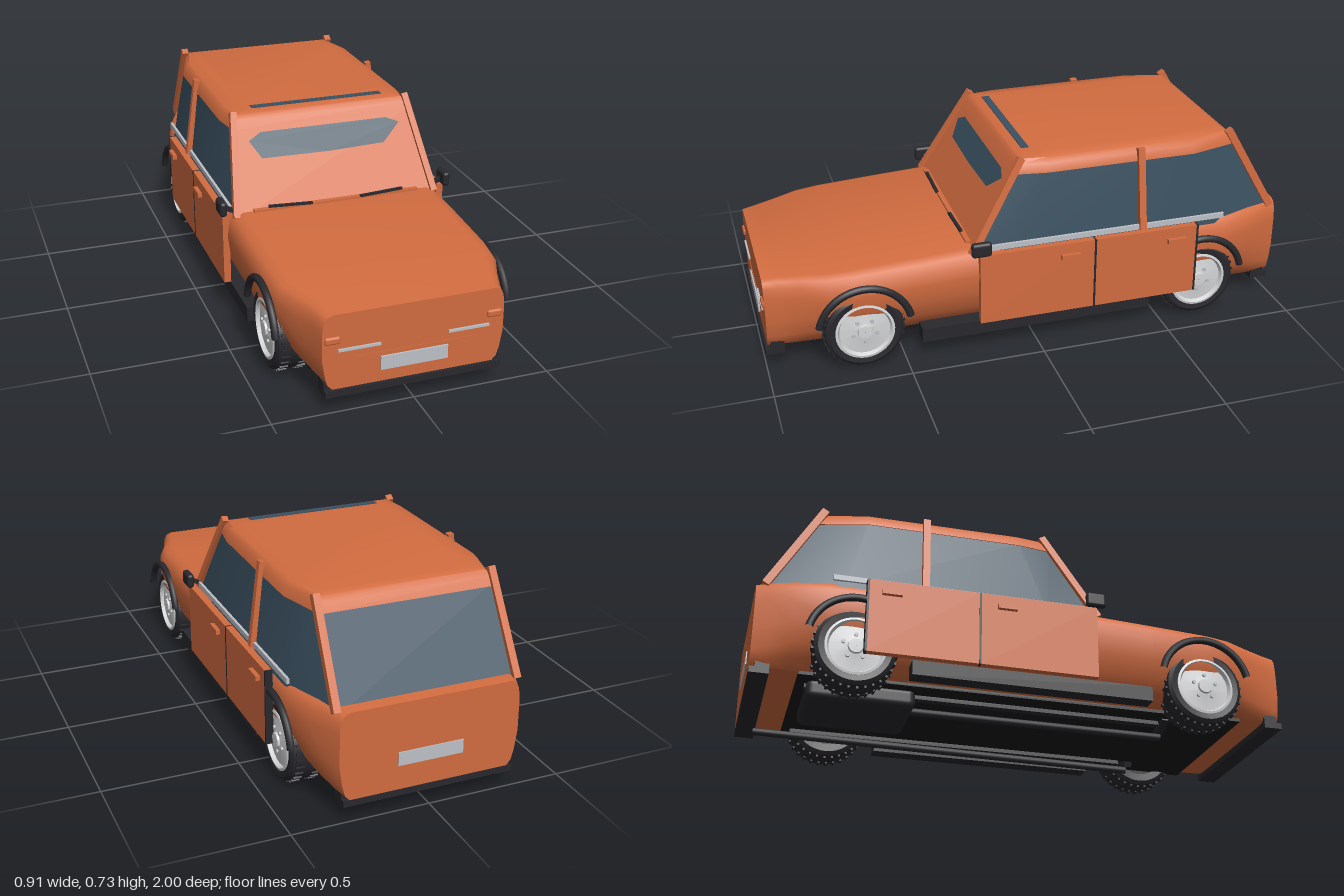
import * as THREE from 'three';
import { toCreasedNormals } from 'three/addons/utils/BufferGeometryUtils.js';
import { RoundedBoxGeometry } from 'three/addons/geometries/RoundedBoxGeometry.js';

const material = (name, color, side = THREE.FrontSide) => {
  const m = new THREE.MeshStandardMaterial({ color, side });
  m.name = name;
  return m;
};

// Skins a list of equal-length rings; each segment around the ring gets its own material group.
function loft(rings, segmentMaterial, caps, crease) {
  const pos = [], geo = new THREE.BufferGeometry(), n = rings[0].length;
  const tri = (...p) => p.forEach(v => pos.push(...v));
  const group = (index, build) => {
    const start = pos.length / 3;
    build();
    geo.addGroup(start, pos.length / 3 - start, index);
  };
  for (let i = 0; i < n; i++) {
    const j = (i + 1) % n;
    group(segmentMaterial(i), () => {
      for (let k = 0; k + 1 < rings.length; k++) {
        const a = rings[k], b = rings[k + 1];
        tri(a[i], a[j], b[j]);
        tri(a[i], b[j], b[i]);
      }
    });
  }
  if (caps) group(0, () => {
    const a = rings[0], b = rings[rings.length - 1];
    for (let i = 1; i + 1 < n; i++) {
      tri(a[0], a[i + 1], a[i]);
      tri(b[0], b[i], b[i + 1]);
    }
  });
  geo.setAttribute('position', new THREE.Float32BufferAttribute(pos, 3));
  return toCreasedNormals(geo, crease);
}

export function createModel() {
  const car = new THREE.Group();
  const paint = material('orange paint', 0xd26c40);
  const glass = material('blue grey glass', 0x3a5060, THREE.DoubleSide);
  const dark = material('dark trim', 0x28282d);
  const black = material('black underside', 0x17171a);
  const silver = material('silver trim', 0xbcc0c6);
  const rim = material('light rim', 0xd4d5d6);

  const add = (name, geo, mat, x = 0, y = 0, z = 0, parent = car) => {
    const m = new THREE.Mesh(geo, mat);
    m.name = name;
    m.position.set(x, y, z);
    parent.add(m);
    return m;
  };
  const box = (name, mat, w, h, d, x, y, z) => add(name, new THREE.BoxGeometry(w, h, d), mat, x, y, z);
  const beam = (name, mat, a, b, w, d) => {
    const p = new THREE.Vector3(...a), q = new THREE.Vector3(...b), dir = q.clone().sub(p);
    const m = box(name, mat, w, dir.length(), d, 0, 0, 0);
    m.position.copy(p).add(q).multiplyScalar(0.5);
    m.quaternion.setFromUnitVectors(new THREE.Vector3(0, 1, 0), dir.normalize());
    return m;
  };

  // Lower body: one half profile for the middle, one for the ends, blended along z
  const middle = [[0.72, 0], [0.84, 0.13], [0.92, 0.28], [0.98, 0.5], [1, 0.72], [0.985, 0.87], [0.94, 0.96], [0.86, 1]];
  const end = [[0.89, 0], [0.94, 0.06], [0.97, 0.18], [1, 0.4], [1, 0.76], [0.985, 0.9], [0.95, 0.97], [0.89, 1]];
  const stations = [ // z, half width, top, blend towards the end profile
    [-1, 0.33, 0.405, 1], [-0.95, 0.35, 0.41, 0.85], [-0.87, 0.385, 0.41, 0.4], [-0.75, 0.415, 0.41, 0],
    [-0.4, 0.422, 0.41, 0], [0.22, 0.422, 0.41, 0], [0.45, 0.422, 0.398, 0], [0.68, 0.418, 0.386, 0],
    [0.77, 0.405, 0.38, 0.15], [0.86, 0.365, 0.373, 0.55], [0.94, 0.335, 0.366, 0.9], [0.99, 0.323, 0.36, 1]];
  const sections = stations.map(([z, w, top, e]) => {
    const half = middle.map(([x, y], i) => [
      THREE.MathUtils.lerp(x, end[i][0], e) * w,
      0.085 + THREE.MathUtils.lerp(y, end[i][1], e) * (top - 0.085), z]);
    return [...half, ...half.map(([x, y]) => [-x, y, z]).reverse()];
  });
  add('body', loft(sections, () => 0, true, 0.75), [paint]);

  // Greenhouse: rings of eight corners, glazed on the sides and the back
  const ring = (y, ...side) => [
    [-side[0][0], y, side[0][1]], ...side.map(([x, z]) => [x, y, z]),
    ...side.slice(1).reverse().map(([x, z]) => [-x, y, z])];
  const cabin = [
    ring(0.385, [0.385, 0.25], [0.402, 0.05], [0.402, -0.7], [0.325, -0.97]),
    ring(0.68, [0.345, 0.075], [0.366, -0.05], [0.366, -0.62], [0.315, -0.805])];
  add('cabin', loft(cabin, i => (i === 0 ? 0 : 1), false, 0.3), [paint, glass]);
  const roof = [
    ring(0.672, [0.35, 0.082], [0.37, -0.05], [0.37, -0.62], [0.32, -0.81]),
    ring(0.705, [0.343, 0.062], [0.36, -0.05], [0.36, -0.62], [0.315, -0.79]),
    ring(0.722, [0.33, 0.048], [0.343, -0.05], [0.343, -0.62], [0.305, -0.775]),
    ring(0.73, [0.28, 0.02], [0.29, -0.07], [0.29, -0.6], [0.26, -0.75])];
  add('roof', loft(roof, () => 0, true, 0.7), [paint]);

  // Windscreen pane, sheared to lie on the sloping front of the cabin
  const pane = new THREE.ShapeGeometry(new THREE.Shape([
    [-0.3, 0.635], [-0.26, 0.575], [0, 0.572], [0.225, 0.578], [0.3, 0.64],
    [0.25, 0.66], [-0.25, 0.66]].map(p => new THREE.Vector2(...p))));
  const pp = pane.attributes.position;
  for (let i = 0; i < pp.count; i++) pp.setZ(i, 0.25 - (pp.getY(i) - 0.385) * 0.593 + 0.006);
  pane.computeVertexNormals();
  add('windscreenPane', pane, glass);
  box('roofGlassStrip', glass, 0.52, 0.008, 0.028, 0, 0.729, 0.005);

  // Cowl, nose and tail details
  box('cowl', paint, 0.65, 0.02, 0.05, 0, 0.407, 0.225);
  box('noseLip', paint, 0.42, 0.012, 0.012, 0, 0.191, 0.986);
  box('frontPlate', silver, 0.24, 0.05, 0.008, 0, 0.155, 0.993);
  box('rearPlate', silver, 0.24, 0.05, 0.008, 0, 0.2, -1);
  for (const f of [-1, 1]) {
    box('bumper', dark, 0.63, 0.023, 0.07, 0, 0.072, f * 0.965);
    for (const s of [-1, 1]) box('bumperBracket', dark, 0.05, 0.03, 0.05, s * 0.29, 0.095, f * 0.955);
  }

  // Underside
  box('floor', black, 0.62, 0.012, 1.66, 0, 0.08, 0);
  add('fuelTank', new RoundedBoxGeometry(0.29, 0.075, 0.39, 3, 0.025), dark, -0.125, 0.047, -0.6);
  for (const z of [0.65, -0.65]) box('axle', dark, 0.66, 0.025, 0.035, 0, 0.1, z);

  // Wheel shapes, with the axle along y and the outer face at the top
  const v2 = list => list.map(p => new THREE.Vector2(...p));
  const tyreGeo = toCreasedNormals(new THREE.LatheGeometry(v2([
    [0.1, -0.06], [0.13, -0.064], [0.143, -0.055], [0.147, -0.03], [0.147, 0.03],
    [0.143, 0.055], [0.13, 0.064], [0.106, 0.06], [0.1, 0.04]]), 40), 0.6);
  const rimGeo = toCreasedNormals(new THREE.LatheGeometry(v2([
    [0.107, 0.05], [0.109, 0.064], [0.1, 0.066], [0.093, 0.052], [0.05, 0.056], [0.028, 0.06],
    [0.026, 0.068], [0.001, 0.069]]), 36), 0.5);
  const treadGeo = new THREE.BoxGeometry(0.014, 0.03, 0.008);
  const studGeo = new THREE.CylinderGeometry(0.007, 0.007, 0.012, 8);
  rim.side = THREE.DoubleSide;

  for (const s of [-1, 1]) {
    // Pillars
    beam('frontPillar', paint, [s * 0.392, 0.395, 0.245], [s * 0.342, 0.73, 0.045], 0.024, 0.026);
    beam('middlePillar', paint, [s * 0.41, 0.4, -0.41], [s * 0.367, 0.722, -0.405], 0.022, 0.026);
    beam('rearPillar', paint, [s * 0.33, 0.395, -0.97], [s * 0.322, 0.73, -0.775], 0.026, 0.028);
    beam('beltStrip', silver, [s * 0.403, 0.418, 0.2], [s * 0.403, 0.418, -0.74], 0.01, 0.02);

    // Doors, with dark gaps behind each
    for (const [z, len, handle] of [[0.008, 0.436, -0.115], [-0.416, 0.4, -0.535]]) {
      box('door', paint, 0.026, 0.28, len, s * 0.427, 0.27, z);
      box('doorGap', dark, 0.028, 0.28, 0.008, s * 0.427, 0.27, z - len / 2 - 0.004);
      box('doorHandle', paint, 0.018, 0.018, 0.072, s * 0.447, 0.361, handle);
    }
    box('sill', dark, 0.06, 0.055, 0.89, s * 0.385, 0.1, -0.005);

    // Mirror and wiper
    beam('mirrorArm', dark, [s * 0.395, 0.415, 0.22], [s * 0.435, 0.435, 0.22], 0.016, 0.016);
    add('mirror', new RoundedBoxGeometry(0.028, 0.056, 0.075, 3, 0.012), dark, s * 0.442, 0.438, 0.222);
    const wx = s < 0 ? -0.185 : 0.175;
    beam('wiper', dark, [wx - 0.085, s < 0 ? 0.427 : 0.418, 0.25], [wx + 0.085, s < 0 ? 0.418 : 0.427, 0.25], 0.008, 0.012);

    // Lamps and nose strips
    add('headlamp', new RoundedBoxGeometry(0.054, 0.027, 0.02, 3, 0.008), paint, s * 0.288, 0.268, 0.988);
    box('noseStrip', silver, 0.148, 0.009, 0.008, s * 0.195, 0.229, 0.993);

    // Exhaust pipe, chassis rail and front strut
    const pipe = beam('pipe', dark, [s * 0.188, 0.027, 0.55], [s * 0.188, s < 0 ? 0.027 : 0.04, s < 0 ? -0.45 : -0.94], 0.02, 0.02);
    pipe.geometry = new THREE.CylinderGeometry(0.014, 0.014, pipe.geometry.parameters.height, 12);
    box('chassisRail', dark, 0.03, 0.022, 1.33, s * 0.22, 0.07, -0.135);
    beam('strut', dark, [s * 0.15, 0.04, 0.55], [s * 0.26, 0.078, 0.55], 0.022, 0.03);

    for (const z of [0.65, -0.65]) {
      // Wheel arch trim
      const arc = 2.7;
      add('wheelArch', new THREE.TorusGeometry(0.17, 0.014, 8, 28, arc), dark, s * 0.425, 0.167, z)
        .rotation.set(0, Math.PI / 2, (Math.PI - arc) / 2);

      // Wheel
      const wheel = new THREE.Group();
      wheel.name = 'wheel';
      wheel.position.set(s * 0.35, 0.156, z);
      wheel.rotation.z = -s * Math.PI / 2;
      car.add(wheel);
      add('tyre', tyreGeo, dark, 0, 0, 0, wheel);
      add('wheelBack', new THREE.CylinderGeometry(0.102, 0.102, 0.06, 24), black, 0, -0.02, 0, wheel);
      add('rim', rimGeo, rim, 0, 0, 0, wheel);
      for (let i = 0; i < 5; i++) {
        const a = i * Math.PI * 2 / 5;
        add('wheelStud', studGeo, silver, Math.cos(a) * 0.045, 0.058, Math.sin(a) * 0.045, wheel);
      }
      for (let i = 0; i < 64; i++) {
        const a = i * Math.PI / 32, y = i % 2 ? 0.032 : -0.032;
        add('tread', treadGeo, dark, Math.cos(a) * 0.145, y, Math.sin(a) * 0.145, wheel).rotation.y = -a;
      }
    }
  }
  return car;
}
